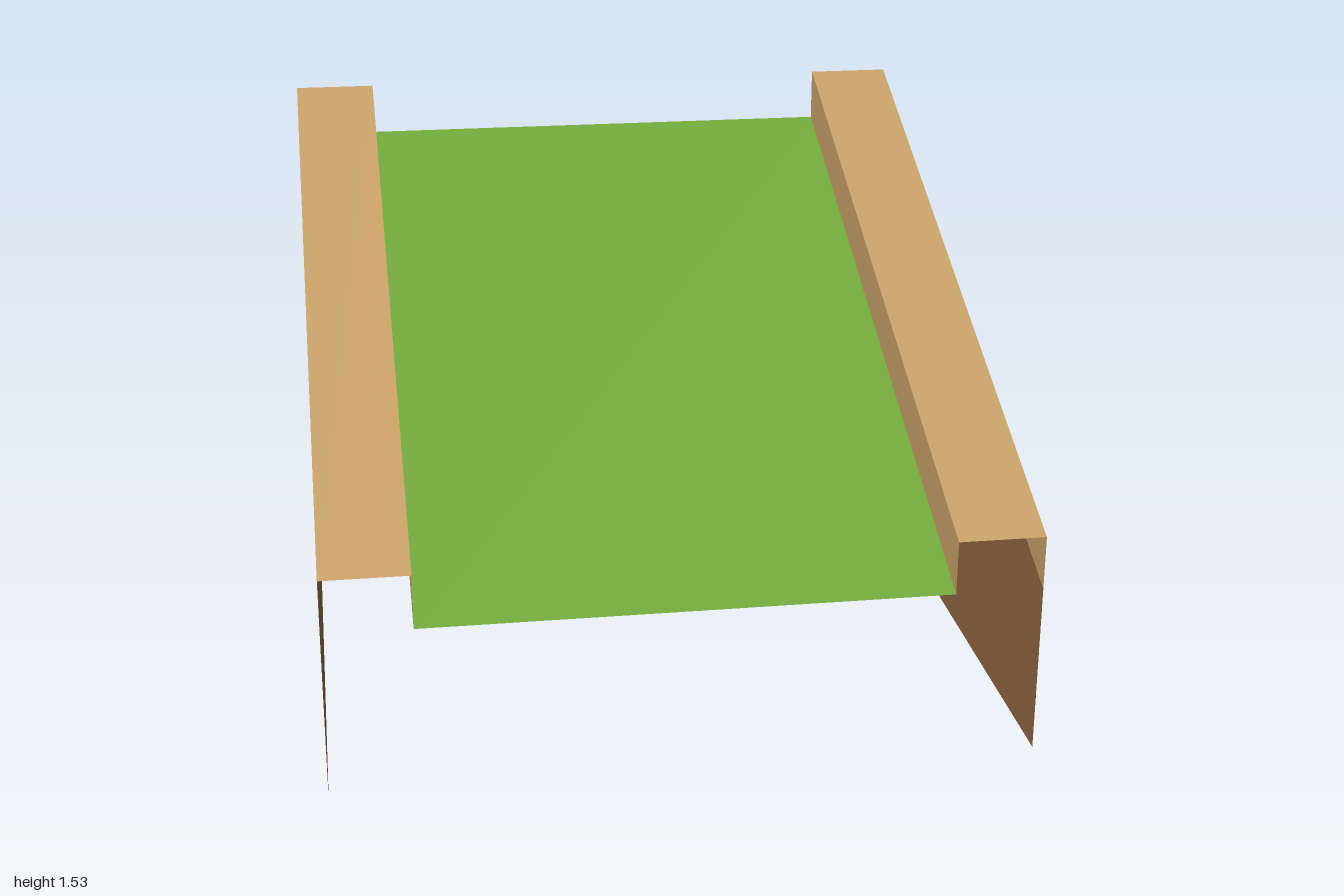
import * as THREE from 'three';

const FRONT_Y = 0.5, BACK_Y = 1.372, CURB = 0.158;

function material(name, color) {
  const m = new THREE.MeshStandardMaterial({ color, side: THREE.DoubleSide });
  m.name = name;
  return m;
}

// Flat sheet running from front to back between two edges.
// Each edge is [x, height at the front, height at the back].
function sheet(name, mat, a, b) {
  const geo = new THREE.BufferGeometry();
  geo.setAttribute('position', new THREE.Float32BufferAttribute([
    a[0], a[1], 1, b[0], b[1], 1, b[0], b[2], -1, a[0], a[2], -1,
  ], 3));
  geo.setIndex([0, 1, 2, 0, 2, 3]);
  geo.computeVertexNormals();
  const mesh = new THREE.Mesh(geo, mat);
  mesh.name = name;
  return mesh;
}

// Edge that follows the slope, raised by a given height
const slope = (x, up = 0) => [x, FRONT_Y + up, BACK_Y + up];

export function createModel() {
  const grass = material('grass green', 0x70a63a);
  const timber = material('light timber', 0xc69e66);
  const earth = material('brown earth', 0x8e6540);

  const model = new THREE.Group();
  model.name = 'ramp';

  // Sloping deck
  model.add(sheet('deck', grass, slope(-0.75), slope(0.75)));

  // Raised curbs and side walls, mirrored
  for (const [label, s] of [['left', 1], ['right', -1]]) {
    const side = new THREE.Group();
    side.name = label + 'Side';
    const add = (name, mat, a, b) =>
      side.add(s > 0 ? sheet(name, mat, a, b) : sheet(name, mat, b, a));
    add('curbInner', timber, slope(0.75 * s), slope(0.75 * s, CURB));
    add('curbTop', timber, slope(0.75 * s, CURB), slope(s, CURB));
    add('curbOuter', timber, slope(s, CURB), slope(s));
    add('sideWall', earth, slope(s), [s, 0, 0]);
    model.add(side);
  }
  return model;
}
